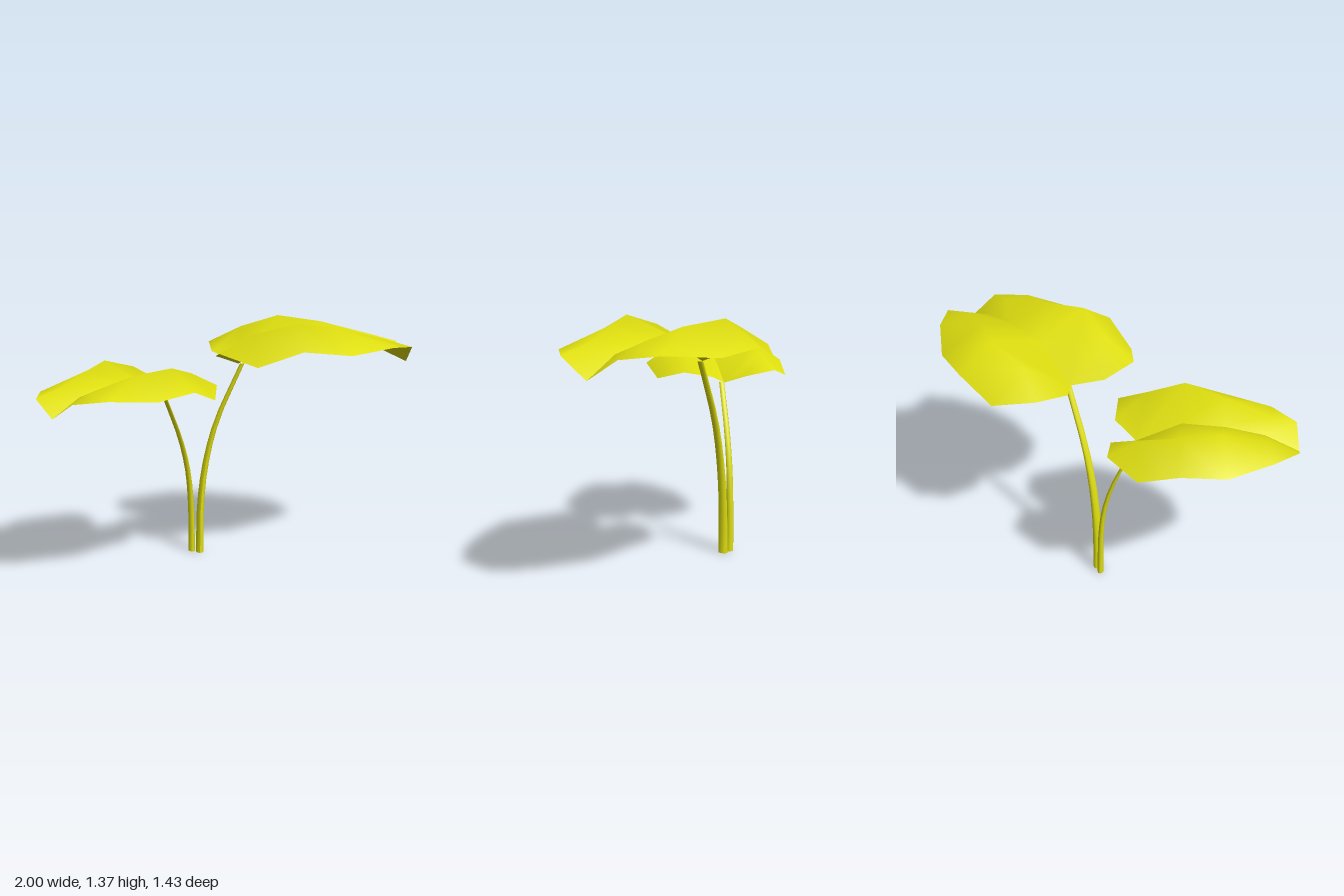
import * as THREE from 'three';

const leafYellow = new THREE.MeshStandardMaterial({ color: 0xdede10, side: THREE.DoubleSide });
leafYellow.name = 'leafYellow';

// Half-leaf control points: along the rib, height, distance from the rib
const RIB = [[0, 0, 0], [0.23, 0.125, 0], [0.45, 0.12, 0], [0.65, 0.085, 0], [0.83, 0, 0]]; // 0-4
const RIDGE = [[0.04, 0.16, 0.22], [0.23, 0.21, 0.25], [0.43, 0.185, 0.17], [0.67, 0.125, 0.11]]; // 5-8
const RIM = [[-0.12, 0.05, 0.1], [-0.12, 0.08, 0.265], [0.04, 0.03, 0.385], [0.24, 0.1, 0.415],
  [0.47, 0.075, 0.37], [0.69, 0.095, 0.25], [0.815, 0.085, 0.135]]; // 9-15
const FACES = [
  [0, 1, 6, 5], [1, 2, 7, 6], [2, 3, 8, 7], [3, 4, 15, 8], // rib to ridge
  [0, 5, 9], [9, 5, 10], [10, 5, 11], // lobe beside the notch
  [5, 6, 12, 11], [6, 7, 13, 12], [7, 8, 14, 13], [8, 15, 14], // ridge to rim
];

// Smooth half blade; side is +1 or -1, the crease stays sharp along the rib
function halfLeaf(side) {
  const points = [...RIB, ...RIDGE, ...RIM].flatMap(([u, y, w]) => [u, y, w * side]);
  const index = [];
  for (const f of FACES) {
    for (let i = 1; i < f.length - 1; i++) {
      let tri = [f[0], f[i], f[i + 1]];
      const [a, b, c] = tri.map((k) => [points[k * 3], points[k * 3 + 2] ]);
      const area = (b[0] - a[0]) * (c[1] - a[1]) - (b[1] - a[1]) * (c[0] - a[0]);
      if (area > 0) tri = tri.reverse(); // face upwards
      index.push(...tri);
    }
  }
  const geo = new THREE.BufferGeometry();
  geo.setAttribute('position', new THREE.Float32BufferAttribute(points, 3));
  geo.setIndex(index);
  geo.computeVertexNormals();
  return geo;
}

function leaf(name, position, angle, scale) {
  const group = new THREE.Group();
  group.name = name;
  for (const side of [1, -1]) {
    const mesh = new THREE.Mesh(halfLeaf(side), leafYellow);
    mesh.name = side > 0 ? 'bladeHalfA' : 'bladeHalfB';
    group.add(mesh);
  }
  group.position.set(...position);
  group.rotation.y = angle;
  group.scale.setScalar(scale);
  return group;
}

// Tapered stem: oval rings lofted up a curve; radii are [along lean, across lean]
function stem(name, path, angle, bottom, top) {
  const rings = 10, sides = 8;
  const curve = new THREE.CatmullRomCurve3(path.map((p) => new THREE.Vector3(...p)));
  const geo = new THREE.CylinderGeometry(1, 1, 1, sides, rings);
  const pos = geo.attributes.position;
  const c = Math.cos(angle), s = Math.sin(angle);
  for (let i = 0; i < pos.count; i++) {
    const t = THREE.MathUtils.clamp(pos.getY(i) + 0.5, 0, 1);
    const p = curve.getPoint(t);
    const a = pos.getX(i) * THREE.MathUtils.lerp(bottom[0], top[0], t);
    const b = pos.getZ(i) * THREE.MathUtils.lerp(bottom[1], top[1], t);
    pos.setXYZ(i, p.x + a * c + b * s, p.y, p.z - a * s + b * c);
  }
  geo.computeVertexNormals();
  const mesh = new THREE.Mesh(geo, leafYellow);
  mesh.name = name;
  return mesh;
}

export function createModel() {
  const model = new THREE.Group();
  model.name = 'twoLeafPlant';
  model.add(
    leaf('smallLeaf', [-0.17, 0.955, -0.305], Math.PI, 1),
    leaf('largeLeaf', [0.2, 1.125, -0.085], -Math.PI / 4, 1.187),
    stem('smallStem', [[0.022, 0, -0.296], [0.016, 0.3, -0.296], [-0.008, 0.5, -0.296],
      [-0.07, 0.7, -0.296], [-0.195, 0.955, -0.296]], 0, [0.017, 0.021], [0.008, 0.015]),
    stem('largeStem', [[0.041, 0, -0.25], [0.046, 0.3, -0.245], [0.068, 0.55, -0.222],
      [0.115, 0.8, -0.175], [0.216, 1.125, -0.07]], -Math.PI / 4, [0.023, 0.03], [0.013, 0.018]),
  );
  return model;
}
